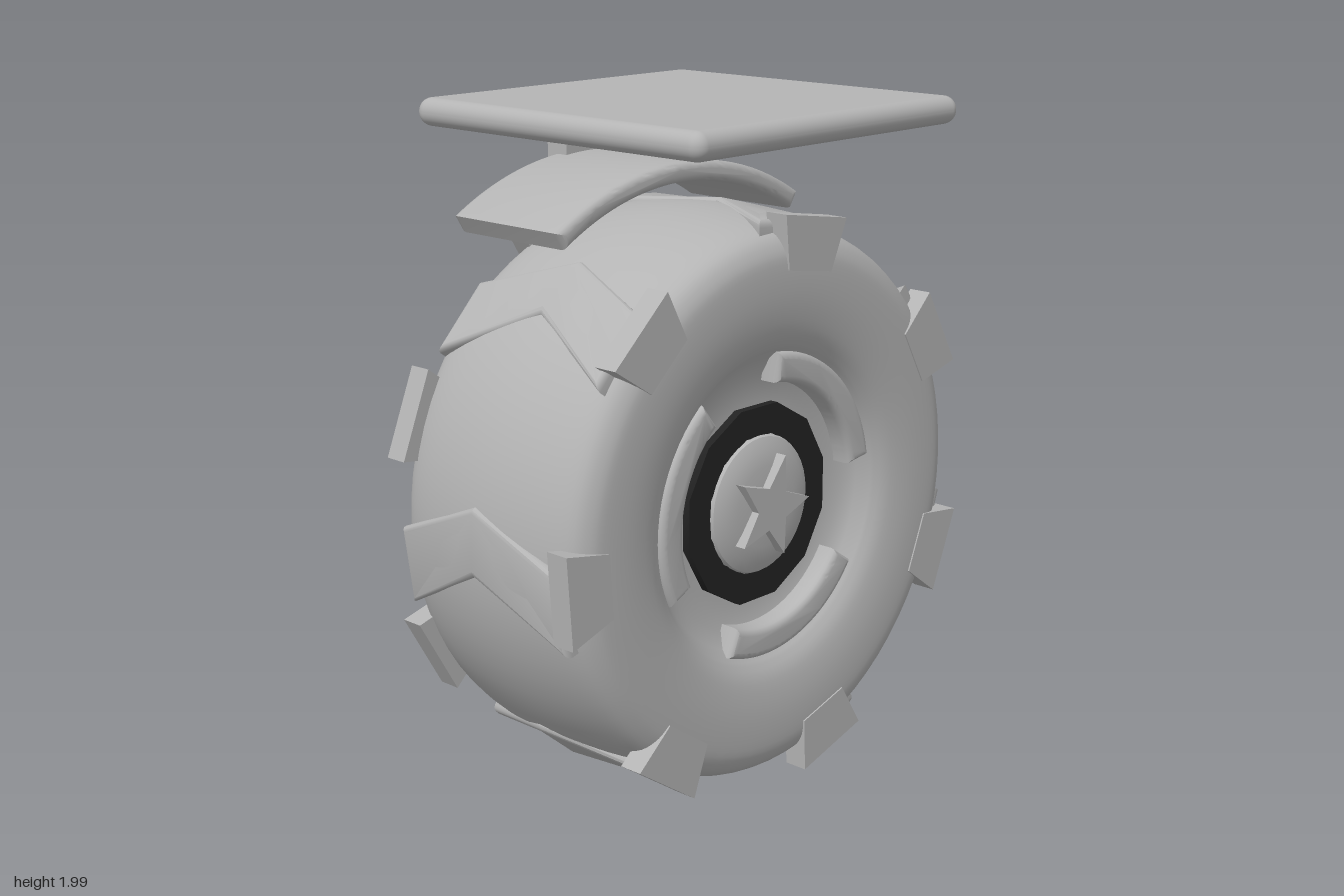
import * as THREE from 'three';
import { toCreasedNormals } from 'three/addons/utils/BufferGeometryUtils.js';
import { RoundedBoxGeometry } from 'three/addons/geometries/RoundedBoxGeometry.js';

const AXLE_Y = 0.86;
const LUGS = 7;
const STEP = (Math.PI * 2) / LUGS;
const rad = THREE.MathUtils.degToRad;

export function createModel() {
  const model = new THREE.Group();
  const grey = new THREE.MeshStandardMaterial({ color: 0xb4b4b4 });
  grey.name = 'plain grey';
  const black = new THREE.MeshStandardMaterial({ color: 0x222222 });
  black.name = 'black';

  const add = (name, geometry, parent = model, material = grey) => {
    const mesh = new THREE.Mesh(geometry, material);
    mesh.name = name;
    parent.add(mesh);
    return mesh;
  };

  // Revolves [radius, x] points around the x axis, listed from -x to +x
  const latheX = (points, segments) => toCreasedNormals(
    new THREE.LatheGeometry(points.map(([r, x]) => new THREE.Vector2(r, x)), segments)
      .rotateZ(-Math.PI / 2), 0.6);

  // Extrudes a side profile (horizontal = -z, vertical = y) from x0 to x1
  const extrudeX = (shape, x0, x1, bevel = 0) => {
    const g = new THREE.ExtrudeGeometry(shape, {
      depth: x1 - x0 - 2 * bevel, curveSegments: 24, bevelEnabled: bevel > 0,
      bevelSize: bevel, bevelThickness: bevel, bevelOffset: -bevel, bevelSegments: 3,
    });
    return toCreasedNormals(g.translate(0, 0, x0 + bevel).rotateY(Math.PI / 2), 0.7);
  };

  const arcShape = (inner, outer, a0, a1) => {
    const s = new THREE.Shape();
    s.absarc(0, 0, outer, a0, a1, false);
    s.absarc(0, 0, inner, a1, a0, true);
    return s;
  };

  const starShape = (outer, inner) => new THREE.Shape(Array.from({ length: 10 }, (_, i) => {
    const r = i % 2 ? inner : outer;
    const a = (i * Math.PI) / 5;
    return new THREE.Vector2(r * Math.cos(a), r * Math.sin(a));
  }));

  // Wheel, built around its axle
  const wheel = new THREE.Group();
  wheel.name = 'wheel';
  wheel.position.y = AXLE_Y;
  model.add(wheel);

  // Tyre with an open cavity on one side and a shallow dish on the other
  const outline = new THREE.SplineCurve([
    [0.47, -0.315], [0.51, -0.342], [0.6, -0.358], [0.7, -0.358], [0.75, -0.348], [0.79, -0.318],
    [0.815, -0.24], [0.832, -0.12], [0.838, 0], [0.832, 0.12], [0.815, 0.24], [0.79, 0.318],
    [0.75, 0.352], [0.7, 0.363], [0.6, 0.362], [0.51, 0.346], [0.46, 0.318],
  ].map(([r, x]) => new THREE.Vector2(r, x))).getPoints(56).map((p) => [p.x, p.y]);
  add('tyre', latheX([
    [0, -0.14], [0.43, -0.14], [0.45, -0.31], ...outline,
    [0.43, 0.285], [0.38, 0.26], [0.3, 0.25], [0, 0.25],
  ], 72), wheel);

  // Chevron treads, bent around the tyre
  const chevron = new THREE.Shape([
    [0, 0.185], [-0.315, 0.055], [-0.315, -0.185], [0, -0.015], [0.315, -0.185], [0.315, 0.055],
  ].map(([x, t]) => new THREE.Vector2(x, t)));
  const bend = (angle) => {
    const g = new THREE.ExtrudeGeometry(chevron, {
      depth: 0.08, bevelSize: 0.018, bevelThickness: 0.018, bevelOffset: -0.018, bevelSegments: 3,
    });
    const p = g.attributes.position;
    for (let i = 0; i < p.count; i++) {
      const x = p.getX(i);
      const a = angle + p.getY(i) / 0.84;
      const r = 0.752 + p.getZ(i) - 0.06 * Math.abs(x);
      p.setXYZ(i, x, r * Math.sin(a), r * Math.cos(a));
    }
    g.computeVertexNormals();
    return toCreasedNormals(g, 0.6);
  };

  // Tapered side lugs, staggered by half a step between the two sides
  const lug = new THREE.Shape([
    [-0.092, 0.685], [0.092, 0.685], [0.132, 0.838], [-0.132, 0.838],
  ].map(([u, v]) => new THREE.Vector2(u, v)));
  const lugRight = extrudeX(lug, 0.295, 0.368);
  const lugLeft = extrudeX(lug, -0.365, -0.295);
  for (let i = 0; i < LUGS; i++) {
    const angle = rad(-4) + i * STEP;
    add('chevronTread', bend(angle), wheel);
    add('sideLug', lugRight, wheel).rotation.x = Math.PI / 2 - angle;
    add('sideLug', lugLeft, wheel).rotation.x = Math.PI / 2 - angle - STEP / 2;
  }

  // Raised arcs in the dish
  for (let i = 0; i < 3; i++) {
    const mid = rad(47 + i * 120);
    add('dishArc', extrudeX(arcShape(0.36, 0.45, mid - rad(39), mid + rad(39)), 0.24, 0.325, 0.02), wheel);
  }

  // Twelve-sided hub ring, domed cap and star
  const ring = new THREE.Shape();
  const hole = new THREE.Path();
  for (let i = 0; i < 12; i++) {
    const a = rad(15 + i * 30);
    const method = i ? 'lineTo' : 'moveTo';
    ring[method](0.298 * Math.cos(a), 0.298 * Math.sin(a));
    hole[method](0.208 * Math.cos(a), 0.208 * Math.sin(a));
  }
  ring.holes.push(hole);
  add('hubRing', extrudeX(ring, 0.23, 0.275), wheel, black);
  add('hubCap', latheX([
    [0.21, 0.24], [0.21, 0.265], [0.2, 0.283], [0.17, 0.298], [0.12, 0.306], [0.06, 0.31], [0, 0.311],
  ], 40), wheel);
  add('hubStar', extrudeX(starShape(0.155, 0.065), 0.29, 0.335), wheel);

  // Axle, rounded knuckle and its small star
  add('axle', latheX([[0, -0.4], [0.155, -0.4], [0.155, -0.13]], 40), wheel);
  add('knuckle', latheX([
    [0, -0.548], [0.06, -0.546], [0.085, -0.532], [0.098, -0.505], [0.1, -0.47], [0.1, -0.39],
  ], 32), wheel);
  add('knuckleStar', extrudeX(starShape(0.09, 0.04), -0.557, -0.535), wheel);

  // Support arm with a slight lean
  const arm = add('supportArm', new THREE.CylinderGeometry(0.072, 0.072, 1.09, 32));
  arm.position.set(-0.477, 1.4, 0);
  arm.rotation.z = -0.012;
  add('armBracket', new THREE.BoxGeometry(0.08, 0.18, 0.21)).position.set(-0.43, 1.85, 0);

  // Curved mudguard following the tyre
  const guard = arcShape(0.895, 0.953, Math.PI / 2 - rad(31.5), Math.PI / 2 + rad(31.5));
  add('mudguard', extrudeX(guard, -0.447, -0.01, 0.02)).position.y = AXLE_Y;

  // Mounting plate
  add('mountingPlate', new RoundedBoxGeometry(1.09, 0.08, 1.09, 5, 0.039)).position.y = 1.96;

  return model;
}
